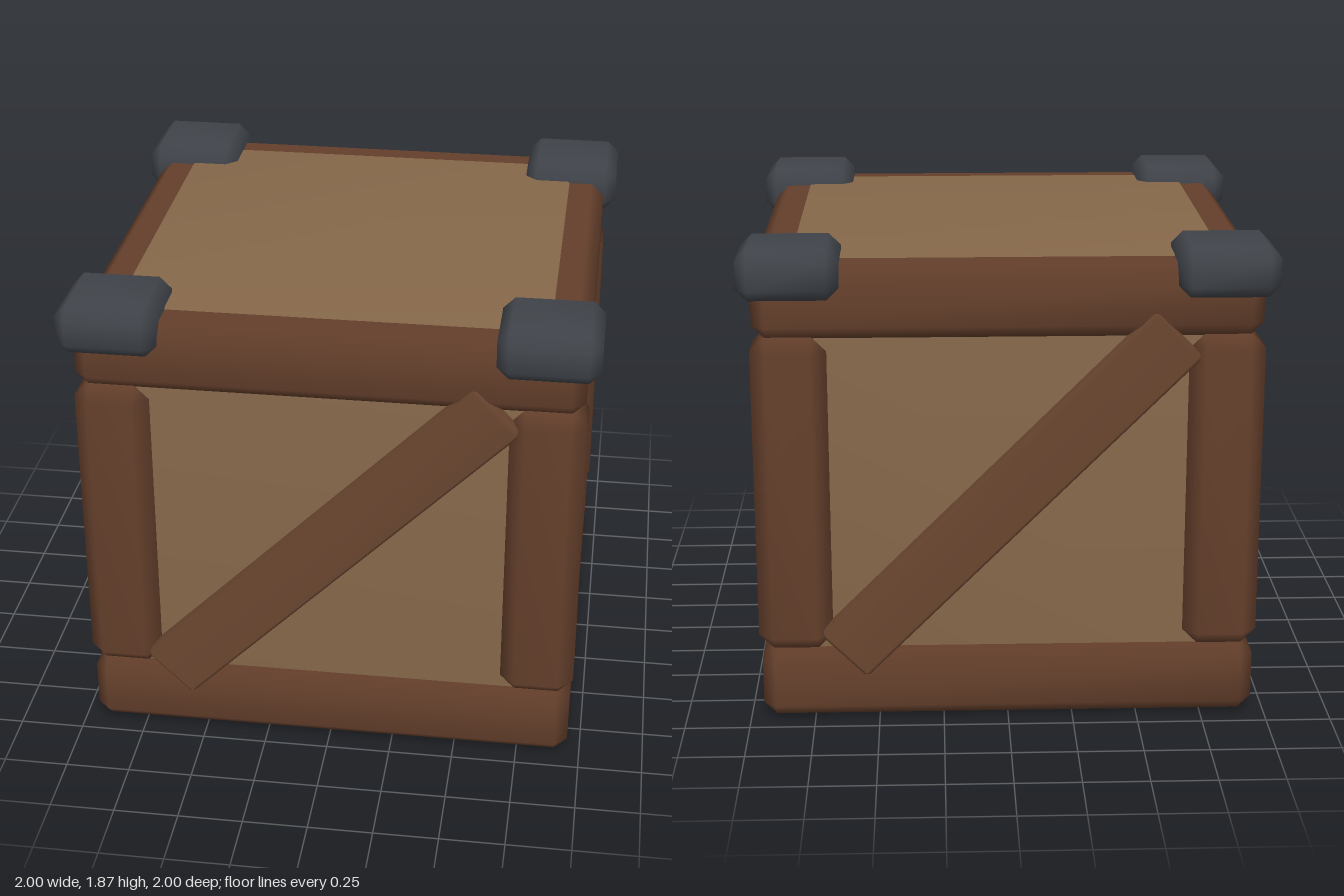
import * as THREE from 'three';
import { mergeVertices } from 'three/addons/utils/BufferGeometryUtils.js';
import { ConvexGeometry } from 'three/addons/geometries/ConvexGeometry.js';

const material = (color) => new THREE.MeshStandardMaterial({ color });

// Box with chamfered edges and softened, area-weighted normals
function chamferBox(w, h, d, c) {
  const points = [];
  for (const x of [-1, 1]) for (const y of [-1, 1]) for (const z of [-1, 1]) {
    for (let axis = 0; axis < 3; axis++) {
      const inset = [c, c, c];
      inset[axis] = 0;
      points.push(new THREE.Vector3(
        x * (w / 2 - inset[0]), y * (h / 2 - inset[1]), z * (d / 2 - inset[2])));
    }
  }
  let geometry = new ConvexGeometry(points);
  geometry.deleteAttribute('normal');
  geometry = mergeVertices(geometry, 1e-4);
  geometry.computeVertexNormals();
  return geometry;
}

export function createModel() {
  const crate = new THREE.Group();
  crate.name = 'crate';
  const panelWood = material(0x86684a);
  const frameWood = material(0x643f2b);
  const braceWood = material(0x6a4630);
  const iron = material(0x40444a);

  const add = (name, geometry, mat, x, y, z) => {
    const mesh = new THREE.Mesh(geometry, mat);
    mesh.name = name;
    mesh.position.set(x, y, z);
    crate.add(mesh);
    return mesh;
  };

  // Inner box whose faces form the panels
  add('panels', chamferBox(1.8, 1.81, 1.8, 0.1), panelWood, 0, 0.905, 0);

  // Bands around the bottom and top; the panels show through by a hair
  const band = chamferBox(1.9, 0.28, 1.9, 0.05);
  add('bottomFrame', band, frameWood, 0, 0.152, 0);
  add('topFrame', band, frameWood, 0, 1.664, 0);

  // Corner posts and metal caps
  const post = chamferBox(0.285, 1.24, 0.285, 0.057);
  const cap = chamferBox(0.378, 0.19, 0.378, 0.045);
  for (const x of [-1, 1]) for (const z of [-1, 1]) {
    const corner = (z > 0 ? 'front' : 'back') + (x > 0 ? 'Left' : 'Right');
    add(corner + 'Post', post, frameWood, x * 0.8175, 0.91, z * 0.8175);
    add(corner + 'Cap', cap, iron, x * 0.811, 1.775, z * 0.811);
  }

  // Diagonal planks on the front and back
  const plank = chamferBox(1.785, 0.245, 0.14, 0.014);
  for (const side of [1, -1]) {
    const brace = add(side > 0 ? 'frontBrace' : 'backBrace', plank, braceWood,
      0, 0.91, side * 0.91);
    brace.rotation.z = side * Math.PI / 4;
  }

  return crate;
}
